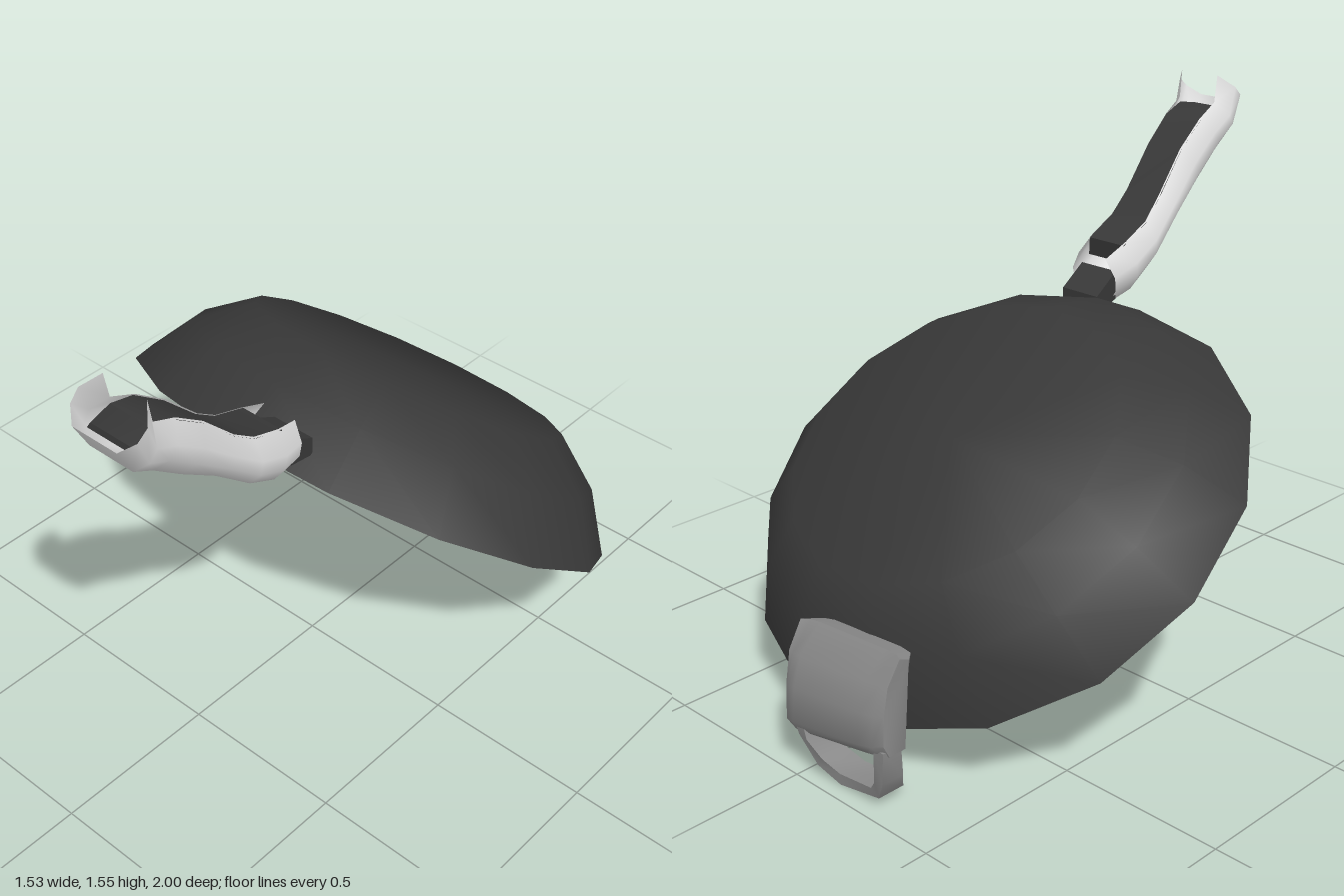
import * as THREE from 'three';
import { toCreasedNormals } from 'three/addons/utils/BufferGeometryUtils.js';

const material = (name, color) => {
  const m = new THREE.MeshStandardMaterial({ color, side: THREE.DoubleSide });
  m.name = name;
  return m;
};

// Skin a list of equal-length rings of [x, y, z] points.
function loft(rings, { closed = true, caps = closed, crease = 0.7 } = {}) {
  const n = rings[0].length, pos = rings.flat(2), index = [];
  for (let r = 0; r + 1 < rings.length; r++) {
    for (let i = 0; i < (closed ? n : n - 1); i++) {
      const a = r * n + i, b = r * n + (i + 1) % n;
      index.push(a, b, b + n, a, b + n, a + n);
    }
  }
  if (caps) {
    const last = (rings.length - 1) * n;
    for (let i = 1; i < n - 1; i++) {
      index.push(0, i + 1, i, last, last + i, last + i + 1);
    }
  }
  const g = new THREE.BufferGeometry();
  g.setAttribute('position', new THREE.Float32BufferAttribute(pos, 3));
  g.setIndex(index);
  return toCreasedNormals(g, crease);
}

export function createModel() {
  const iron = material('cast iron', 0x383838);
  const sleeveGrey = material('light grey sleeve', 0xdedede);
  const gripGrey = material('mid grey grip', 0x888888);
  const white = material('egg white', 0xf2f2f2);
  const yellow = material('yolk yellow', 0xe8c810);
  const meat = material('bacon meat', 0xa0522f);
  const fat = material('bacon fat', 0xd08c68);

  const model = new THREE.Group();
  const add = (parent, name, geometry, mat) => {
    const mesh = new THREE.Mesh(geometry, mat);
    mesh.name = name;
    parent.add(mesh);
    return mesh;
  };

  // Tilted pan: local z points out of the open side
  const pan = new THREE.Group();
  pan.name = 'panWithFood';
  pan.position.set(0, 0.545, -0.257);
  pan.rotation.set(0.979, 0, -0.033, 'ZYX');
  model.add(pan);

  const profile = [[0, -0.285], [0.5, -0.285], [0.65, -0.17], [0.762, 0],
    [0.755, 0], [0.635, -0.165], [0.5, -0.255], [0, -0.255]]
    .map(([r, k]) => new THREE.Vector2(r, k));
  const bowl = new THREE.LatheGeometry(profile, 15, THREE.MathUtils.degToRad(12));
  bowl.rotateX(Math.PI / 2).scale(1.01, 0.965, 1);
  add(pan, 'panBowl', toCreasedNormals(bowl, 1), iron);

  // Food lies on a gently dished surface, addressed by level x, y and a lift off it
  const dish = (y) => -0.23 + 0.06 * ((0.92 - y) / 0.52) ** 2;
  const place = (x, y, lift) => {
    const k = dish(y) + lift;
    return [x, (y - 0.545 + 0.83 * k) / 0.558, k];
  };

  // Fried eggs
  const eggOutline = [[-0.45, 0.65], [-0.42, 0.73], [-0.3, 0.88], [-0.17, 0.92], [0.1, 0.92],
    [0.3, 0.85], [0.44, 0.74], [0.44, 0.62], [0.3, 0.52], [0.2, 0.49], [0.03, 0.46],
    [-0.12, 0.4], [-0.3, 0.44], [-0.4, 0.52]];
  const eggRings = [1, 0.75, 0.5, 0.25, 0].map((s) =>
    eggOutline.map(([x, y]) => place(x * s, 0.67 + (y - 0.67) * s, 0)));
  add(pan, 'eggWhite', loft(eggRings, { caps: false, crease: 1 }), white);
  for (const [x, y] of [[-0.075, 0.672], [0.042, 0.797]]) {
    const dome = new THREE.SphereGeometry(1, 12, 5, 0, Math.PI * 2, 0, Math.PI / 2);
    dome.rotateX(Math.PI / 2).scale(0.128, 0.122, 0.06);
    add(pan, 'yolk', dome, yellow).position.set(...place(x, y, -0.008));
  }

  // Bacon rashers as slabs, with thin paler plates; rows are y, left x, right x
  const strip = (name, rows, lift, thick, mat) => add(pan, name, loft(rows.map(([y, l, r]) =>
    [place(l, y, lift), place(r, y, lift), place(r, y, lift - thick), place(l, y, lift - thick)])), mat);
  strip('baconRasher', [[0.89, 0.17, 0.235], [0.86, 0.156, 0.268], [0.8, 0.15, 0.28],
    [0.7, 0.142, 0.256], [0.62, 0.13, 0.27], [0.55, 0.122, 0.252], [0.495, 0.118, 0.238]],
    0.045, 0.02, meat);
  strip('baconFat', [[0.73, 0.245, 0.262], [0.7, 0.2, 0.256], [0.62, 0.185, 0.27],
    [0.602, 0.18, 0.265], [0.585, 0.13, 0.26], [0.55, 0.122, 0.252], [0.495, 0.118, 0.238]],
    0.049, 0.006, fat);
  strip('baconRasher', [[0.8, 0.29, 0.345], [0.78, 0.262, 0.37], [0.72, 0.283, 0.4],
    [0.66, 0.29, 0.41], [0.58, 0.285, 0.402], [0.5, 0.295, 0.408], [0.395, 0.315, 0.415]],
    0.055, 0.02, meat);
  strip('baconFat', [[0.8, 0.29, 0.345], [0.78, 0.262, 0.37], [0.72, 0.283, 0.395],
    [0.7, 0.286, 0.345], [0.64, 0.289, 0.33], [0.6, 0.286, 0.3]],
    0.059, 0.006, fat);

  // Long handle stations: floor z, floor y, lip z, lip y, centre x, half width
  const stations = [
    [0.33, 0.965, 0.31, 1.10, 0.165, 0.085], [0.42, 0.985, 0.40, 1.135, 0.178, 0.105],
    [0.52, 1.04, 0.50, 1.175, 0.19, 0.105], [0.65, 1.15, 0.58, 1.235, 0.205, 0.1],
    [0.78, 1.245, 0.70, 1.355, 0.225, 0.1], [0.88, 1.325, 0.80, 1.43, 0.237, 0.105],
    [0.95, 1.37, 0.88, 1.47, 0.247, 0.11], [1.0, 1.457, 0.90, 1.55, 0.255, 0.112]];
  const section = (points) => ([fz, fy, lz, ly, cx, w]) => points.map(([a, t]) =>
    [cx + a * w, fy + (ly - fy) * t, fz + (lz - fz) * t]);

  // Open-topped sleeve
  add(model, 'handleSleeve', loft(stations.map(section([[-0.63, 1], [-1, 0.6], [-0.97, 0.3],
    [-0.65, 0], [0.65, 0], [0.97, 0.3], [1, 0.6], [0.63, 1]])), { closed: false, crease: 1 }),
    sleeveGrey);
  // Dark core inside the sleeve
  const coreStations = [[0.405, 0.98, 0.385, 1.13, 0.176, 0.103], ...stations.slice(2, 6),
    [0.93, 1.36, 0.88, 1.455, 0.247, 0.105], [0.96, 1.4, 0.95, 1.442, 0.252, 0.1]];
  add(model, 'handleCore', loft(coreStations.map(section([[-0.66, 0.97], [-0.75, 0.6],
    [0.75, 0.6], [0.66, 0.97]])), { crease: 1 }), iron);
  // Bracket joining handle and bowl
  const bracketRing = (z, x, y0, y1) =>
    [[x - 0.068, y0, z], [x + 0.068, y0, z], [x + 0.068, y1, z], [x - 0.068, y1, z]];
  add(model, 'handleBracket', loft([bracketRing(0.245, 0.153, 0.95, 1.005),
    bracketRing(0.34, 0.165, 0.975, 1.06)]), iron);

  // Rear grip: solid lug against the bowl wall
  const lugOutline = [[-0.84, 0.405], [-0.89, 0.418], [-0.96, 0.35], [-0.985, 0.27],
    [-0.995, 0.18], [-0.965, 0.14], [-0.876, 0.14], [-0.868, 0.31]];
  const lug = [[-0.308, 0.6], [-0.285, 0.9], [-0.24, 1], [0, 1], [0.03, 0.9], [0.052, 0.6]]
    .map(([x, s]) => lugOutline.map(([z, y]) =>
      [x, y - (0.03 + 0.39 * (0.42 - y)) * (x + 0.13),
        -0.935 + (z + 0.935) * s - 0.06 * (x + 0.13)]));
  add(model, 'rearGripLug', loft(lug, { crease: 0.9 }), gripGrey);

  // Rear grip: hanging loop, outer x, y then inner x, y, then back and front z
  const loop = [
    [-0.305, 0.18, -0.268, 0.18, -0.96, -0.9], [-0.303, 0.09, -0.272, 0.085, -0.965, -0.895],
    [-0.27, 0.03, -0.24, 0.048, -0.95, -0.868], [-0.12, 0.004, -0.12, 0.036, -0.952, -0.868],
    [-0.05, 0.04, -0.07, 0.065, -0.968, -0.885], [0.0, 0.12, -0.03, 0.115, -0.985, -0.905],
    [0.02, 0.165, -0.015, 0.165, -0.985, -0.91]];
  add(model, 'rearGripLoop', loft(loop.map(([ox, oy, ix, iy, zb, zf]) =>
    [[ox, oy, zb], [ox, oy, zf], [ix, iy, zf], [ix, iy, zb]])), gripGrey);

  return model;
}
